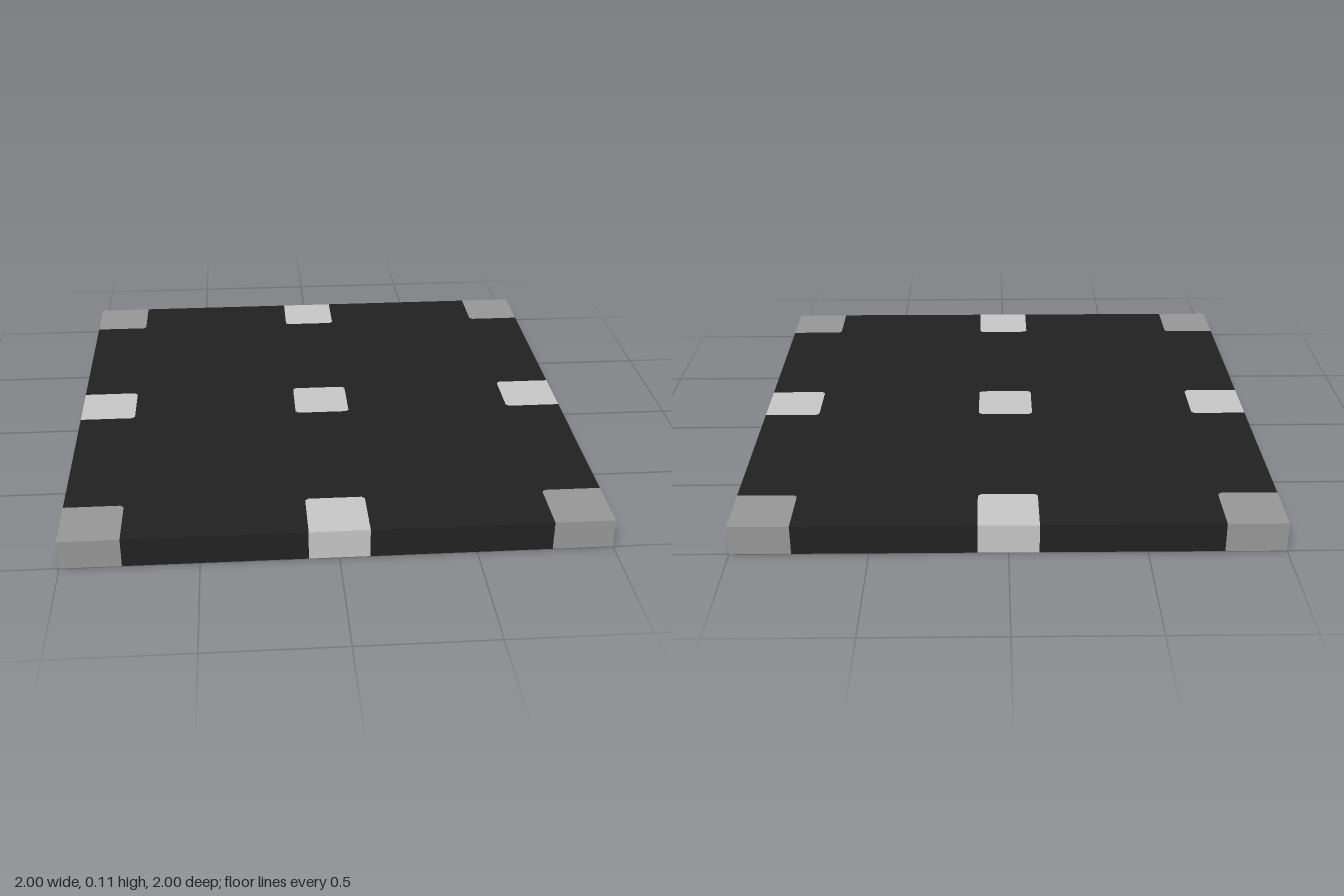
import * as THREE from 'three';

const HEIGHT = 0.113; // tile thickness
const HALF = 0.111; // half width of an inlay
const INNER = 0.778; // inner edge of the outer inlays
const CLIP = 0.012; // clipped inlay corners

const dark = new THREE.MeshStandardMaterial({ color: 0x222222 });
dark.name = 'dark slab';
const light = new THREE.MeshStandardMaterial({ color: 0xc9c9c9 });
light.name = 'light grey';
const grey = new THREE.MeshStandardMaterial({ color: 0x999999 });
grey.name = 'mid grey';

const toShape = (points) => new THREE.Shape(points.map(([x, y]) => new THREE.Vector2(x, y)));

// Stand an outline up as a flat plate resting on y = 0
function plate(name, shape, material) {
  const geometry = new THREE.ExtrudeGeometry(shape, { depth: HEIGHT, bevelEnabled: false });
  geometry.rotateX(-Math.PI / 2);
  const mesh = new THREE.Mesh(geometry, material);
  mesh.name = name;
  return mesh;
}

// Rectangle whose corners are clipped wherever they do not touch the tile's rim
function inlayPoints(x0, x1, y0, y1) {
  const corners = [[x0, y0, 0, 1, 1, 0], [x1, y0, -1, 0, 0, 1], [x1, y1, 0, -1, -1, 0], [x0, y1, 1, 0, 0, -1]];
  return corners.flatMap(([x, y, ax, ay, bx, by]) =>
    Math.abs(x) === 1 || Math.abs(y) === 1
      ? [[x, y]]
      : [[x + ax * CLIP, y + ay * CLIP], [x + bx * CLIP, y + by * CLIP]]);
}

// Slab outline: one notched side turned through four quarters
function slabShape() {
  const side = [
    [-INNER, -1], [-HALF, -1], [-HALF, -INNER - CLIP], [-HALF + CLIP, -INNER],
    [HALF - CLIP, -INNER], [HALF, -INNER - CLIP], [HALF, -1],
    [INNER, -1], [INNER, -INNER - CLIP], [INNER + CLIP, -INNER],
  ];
  const outline = [];
  let points = side;
  for (let i = 0; i < 4; i++) {
    outline.push(...points);
    points = points.map(([x, y]) => [-y, x]);
  }
  const shape = toShape(outline);
  shape.holes.push(toShape(inlayPoints(-HALF, HALF, -HALF, HALF)));
  return shape;
}

export function createModel() {
  const group = new THREE.Group();
  group.name = 'floorTile';
  group.add(plate('slab', slabShape(), dark));

  // Inlays: corners in mid grey, edge middles and centre in light grey
  const spans = [[-1, -INNER], [-HALF, HALF], [INNER, 1]];
  spans.forEach(([x0, x1], i) => spans.forEach(([y0, y1], j) => {
    const corner = i !== 1 && j !== 1;
    const name = corner ? 'cornerInlay' : i === j ? 'centreInlay' : 'edgeInlay';
    group.add(plate(name, toShape(inlayPoints(x0, x1, y0, y1)), corner ? grey : light));
  }));
  return group;
}
